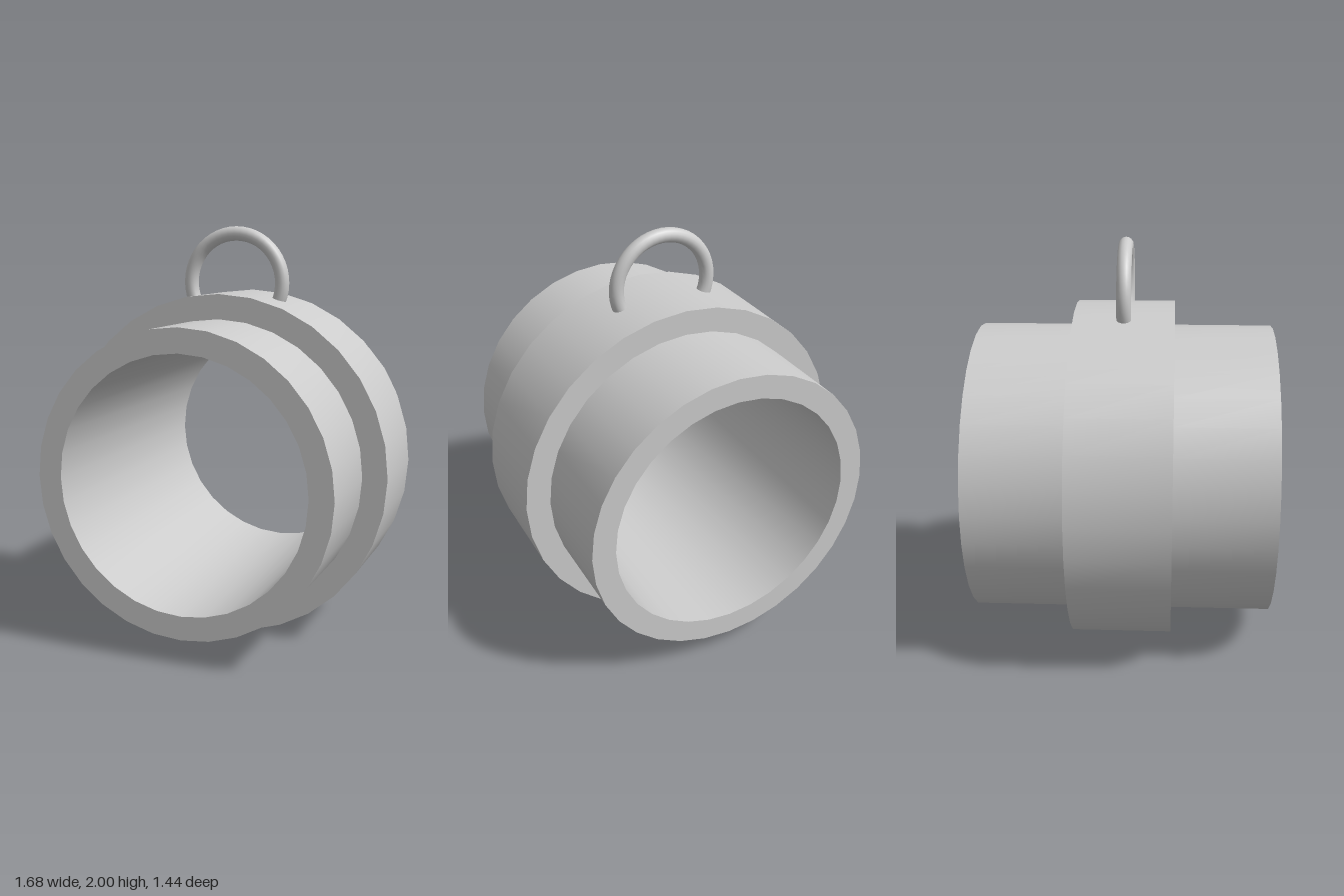
import * as THREE from 'three';
import { toCreasedNormals } from 'three/addons/utils/BufferGeometryUtils.js';

const SEGMENTS = 32;
const CENTRE_Y = 0.84;

export function createModel() {
  const group = new THREE.Group();
  group.name = 'pipeCoupling';
  const material = new THREE.MeshStandardMaterial({ color: 0xcccccc });

  const add = (name, geometry, y) => {
    const mesh = new THREE.Mesh(geometry, material);
    mesh.name = name;
    mesh.position.y = y;
    group.add(mesh);
  };

  // Hollow sleeve with a raised collar: closed wall profile (radius, position along the axis)
  const bore = 0.605, pipe = 0.72, collar = 0.84, end = 0.72, step = 0.24;
  const profile = [
    [bore, -end], [pipe, -end], [pipe, -step], [collar, -step],
    [collar, step], [pipe, step], [pipe, end], [bore, end], [bore, -end],
  ].map(([r, h]) => new THREE.Vector2(r, h));
  const sleeve = new THREE.LatheGeometry(profile, SEGMENTS).rotateX(Math.PI / 2);
  add('sleeveWithCollar', toCreasedNormals(sleeve, 0.6), CENTRE_Y);

  // Lifting ring, its lower part sunk into the collar wall
  add('liftingRing', new THREE.TorusGeometry(0.24, 0.035, 16, 48), 1.725);

  return group;
}
